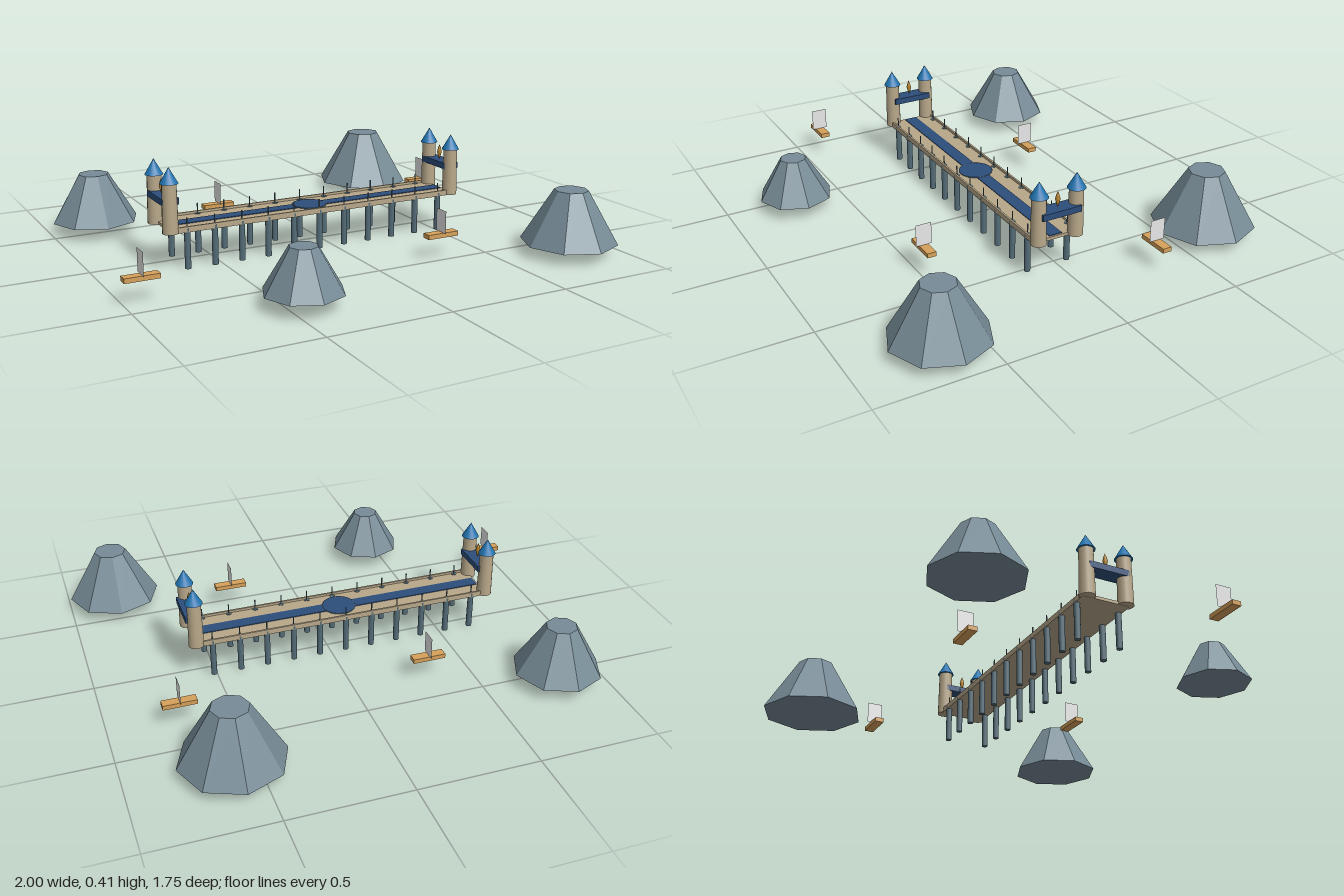
import * as THREE from 'three';

const mat = (name, color, extra = {}) => {
  const m = new THREE.MeshStandardMaterial({ color, ...extra });
  m.name = name;
  return m;
};

export function createModel() {
  const model = new THREE.Group();
  model.name = 'bridgeAndIslands';

  const rock = mat('rock', 0x768b96, { flatShading: true });
  const iron = mat('iron', 0x546c78);
  const stone = mat('stone', 0xb8a88a);
  const navy = mat('navy', 0x2c4d7a);
  const roof = mat('roof', 0x2074b0);
  const wood = mat('wood', 0xd6a05a);
  const gold = mat('gold', 0xb8862f);
  const sailcloth = mat('sailcloth', 0xe8e8e8, { side: THREE.DoubleSide });

  const add = (parent, name, geometry, material, x, y, z) => {
    const mesh = new THREE.Mesh(geometry, material);
    mesh.name = name;
    mesh.position.set(x, y, z);
    parent.add(mesh);
    return mesh;
  };
  const group = (name, x = 0, y = 0, z = 0) => {
    const g = new THREE.Group();
    g.name = name;
    g.position.set(x, y, z);
    model.add(g);
    return g;
  };

  // Eight-sided rock islands: x, z, base radius, bottom, top
  const rocks = [
    [-0.81, -0.54, 0.183, 0.053, 0.254],
    [0.592, -0.665, 0.213, 0.043, 0.278],
    [-0.438, 0.713, 0.155, 0.057, 0.227],
    [0.8, 0.655, 0.196, 0.047, 0.263],
  ];
  for (const [x, z, r, y0, y1] of rocks) {
    add(model, 'rockIsland', new THREE.CylinderGeometry(r * 0.35, r, y1 - y0, 8), rock, x, (y0 + y1) / 2, z);
  }

  // Small boats with an upright sail
  const boats = [[-0.315, -0.355], [0.715, -0.335], [-0.93, 0.405], [0.303, 0.467]];
  for (const [x, z] of boats) {
    const boat = group('boat', x, 0, z);
    add(boat, 'hull', new THREE.BoxGeometry(0.138, 0.019, 0.039), wood, 0, 0.096, 0);
    add(boat, 'sail', new THREE.PlaneGeometry(0.067, 0.092), sailcloth, 0, 0.152, 0).rotation.y = Math.PI / 2;
  }

  // Bridge deck, curbs and carpet
  const bridge = group('bridge', -0.067, 0, 0.037);
  add(bridge, 'deck', new THREE.BoxGeometry(1.285, 0.013, 0.203), stone, 0, 0.1555, 0);
  for (const s of [-1, 1]) {
    add(bridge, 'curb', new THREE.BoxGeometry(1.285, 0.01, 0.008), stone, 0, 0.167, s * 0.0975);
  }
  add(bridge, 'carpet', new THREE.BoxGeometry(1.27, 0.003, 0.056), navy, 0, 0.1635, 0);
  add(bridge, 'medallion', new THREE.CylinderGeometry(0.07, 0.07, 0.004, 32), navy, 0, 0.164, 0);
  add(bridge, 'medallionRim', new THREE.TorusGeometry(0.07, 0.0015, 6, 40), iron, 0, 0.165, 0).rotation.x = Math.PI / 2;

  // Pillars and thin lamp posts along both edges
  const pillarGeo = new THREE.CylinderGeometry(0.0125, 0.0125, 0.164, 12);
  const postGeo = new THREE.CylinderGeometry(0.0025, 0.0025, 0.043, 6);
  for (let i = -5; i <= 5; i++) {
    for (const s of [-1, 1]) {
      add(bridge, 'pillar', pillarGeo, iron, i * 0.1155, 0.082, s * 0.09);
      add(bridge, 'post', postGeo, iron, i * 0.1155, 0.1845, s * 0.09);
    }
  }

  // Gate at each end: two towers, a beam and a golden flame
  const flame = [[0, -0.033], [0.006, -0.018], [0.0105, 0], [0.006, 0.018], [0, 0.033]]
    .map(([x, y]) => new THREE.Vector2(x, y));
  for (const end of [-1, 1]) {
    const gate = new THREE.Group();
    gate.name = 'gate';
    gate.position.x = end * 0.643;
    bridge.add(gate);
    for (const s of [-1, 1]) {
      add(gate, 'tower', new THREE.CylinderGeometry(0.029, 0.032, 0.2, 16), stone, 0, 0.25, s * 0.083);
      add(gate, 'towerRoof', new THREE.ConeGeometry(0.037, 0.064, 16), roof, 0, 0.38, s * 0.083);
    }
    add(gate, 'gateBeam', new THREE.BoxGeometry(0.068, 0.026, 0.172), navy, 0.004, 0.274, 0);
    add(gate, 'flame', new THREE.LatheGeometry(flame, 10), gold, 0, 0.32, 0);
  }

  return model;
}
